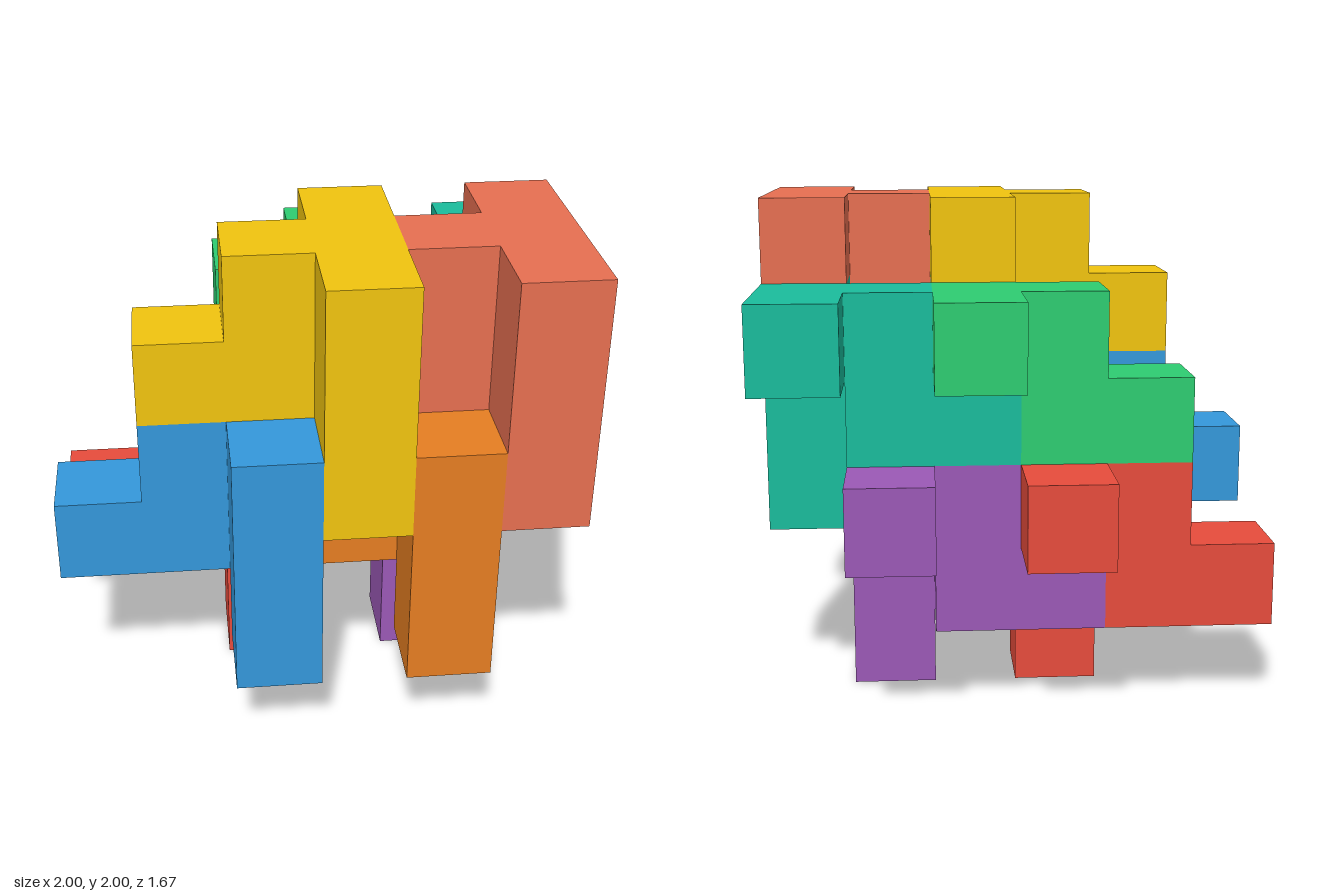
import * as THREE from 'three';

const CELL = 1 / 3;

// Extrudes a profile (in cell units) one cell thick, centred on its depth
function slab(points) {
  const shape = new THREE.Shape(points.map(([x, y]) => new THREE.Vector2(x, y)));
  return new THREE.ExtrudeGeometry(shape, { depth: 1, bevelEnabled: false }).translate(0, 0, -0.5);
}

export function createModel() {
  const model = new THREE.Group();
  model.name = 'interlockingBlocks';

  // Three-cell beam running front to back, with a two-cell leg at its front end
  const beamGeometry = slab([
    [-1.5, -0.5], [0.5, -0.5], [0.5, -2.5], [1.5, -2.5], [1.5, 0.5], [-1.5, 0.5],
  ]).rotateY(-Math.PI / 2);

  // Stepped arm leaving the middle of the beam towards -x
  const armGeometry = slab([
    [-2.5, -1.5], [-0.5, -1.5], [-0.5, 0.5], [-1.5, 0.5], [-1.5, -0.5], [-2.5, -0.5],
  ]);

  // Eight copies of one piece: name, colour, grid cell of the beam's middle
  const pieces = [
    ['coral', 0xe76f51, 5, 5, 3],
    ['yellow', 0xf1c40f, 3, 5, 3],
    ['orange', 0xe67e22, 4, 3, 3],
    ['blue', 0x3498db, 2, 3, 3],
    ['teal', 0x1abc9c, 5, 4, 1],
    ['green', 0x2ecc71, 3, 4, 1],
    ['purple', 0x9b59b6, 4, 2, 1],
    ['red', 0xe74c3c, 2, 2, 1],
  ];

  for (const [name, color, i, j, k] of pieces) {
    const material = new THREE.MeshStandardMaterial({ color });
    const piece = new THREE.Group();
    piece.name = name + 'Piece';

    const beam = new THREE.Mesh(beamGeometry, material);
    beam.name = name + 'BeamAndLeg';
    const arm = new THREE.Mesh(armGeometry, material);
    arm.name = name + 'SteppedArm';
    piece.add(beam, arm);

    piece.scale.setScalar(CELL);
    piece.position.set((i - 2.5) * CELL, (j + 0.5) * CELL, (k - 2) * CELL);
    model.add(piece);
  }
  return model;
}
